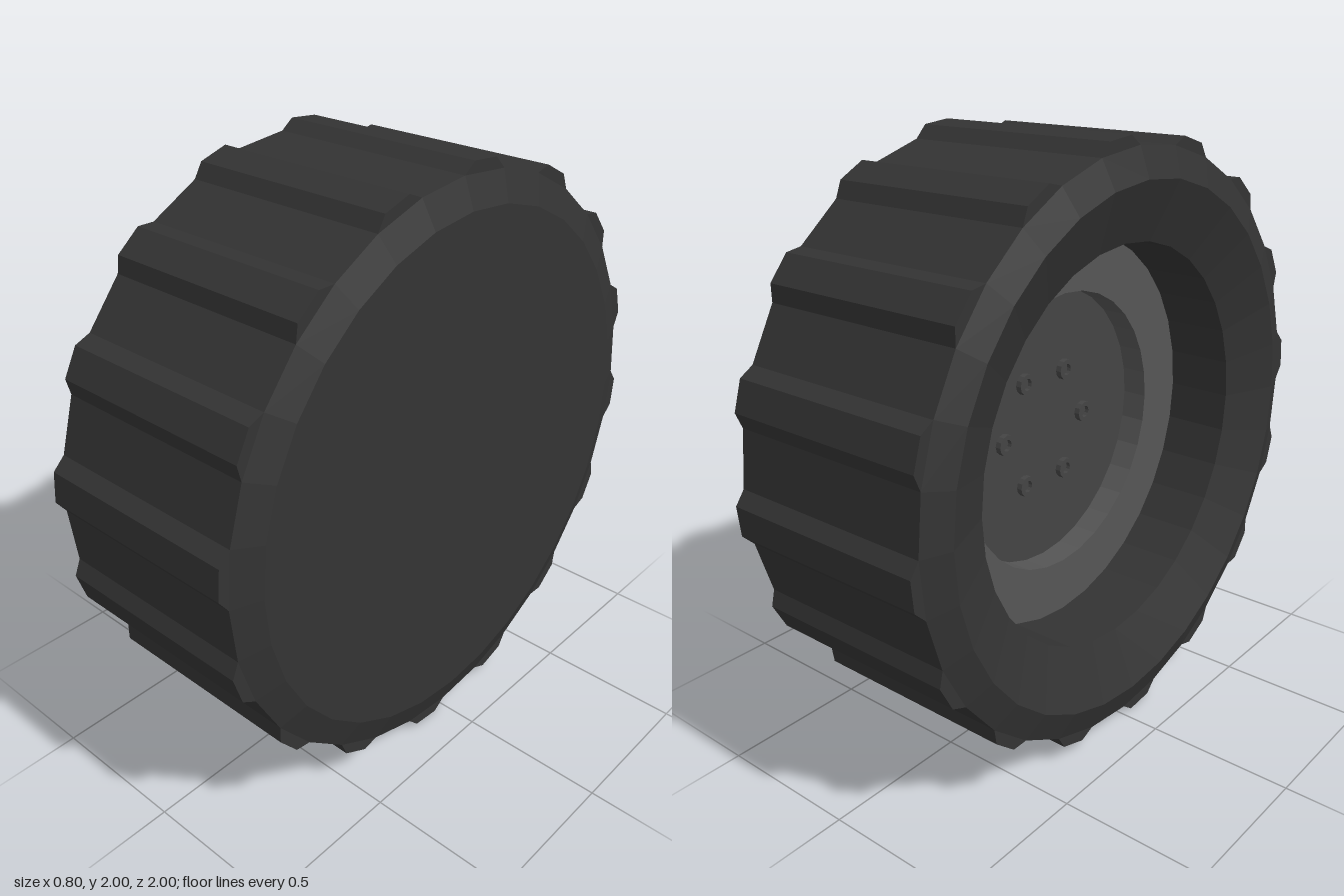
import * as THREE from 'three';

const material = (color) => new THREE.MeshStandardMaterial({ color, flatShading: true });

// Revolve [radius, x] points around the x axis
function revolve(name, points, mat, segments = 32) {
  const geometry = new THREE.LatheGeometry(points.map(([r, x]) => new THREE.Vector2(r, x)), segments);
  geometry.rotateZ(-Math.PI / 2);
  const mesh = new THREE.Mesh(geometry, mat);
  mesh.name = name;
  return mesh;
}

export function createModel() {
  const wheel = new THREE.Group();
  wheel.name = 'wheel';
  const rubber = material(0x333333);
  const metal = material(0x555555);
  const plate = material(0x444444);

  // Tyre: deep cylindrical recess on the right side, closed flat face on the left
  wheel.add(revolve('tyre', [
    [0.67, -0.09], [0.67, -0.32], [0.87, -0.4], [0.967, -0.365],
    [0.967, 0.365], [0.87, 0.4], [0, 0.4],
  ], rubber));

  // Tread: 16 trapezoid bars across the tyre
  const treads = new THREE.Group();
  treads.name = 'treads';
  const section = [[0, 0.93], [0, 0.967], [2.6, 1.001], [8.5, 1.001], [11.25, 0.967], [11.25, 0.93]];
  const shape = new THREE.Shape(section.map(([deg, r]) => {
    const a = THREE.MathUtils.degToRad(deg);
    return new THREE.Vector2(r * Math.sin(a), r * Math.cos(a));
  }));
  const barGeometry = new THREE.ExtrudeGeometry(shape, { depth: 0.73, bevelEnabled: false });
  barGeometry.translate(0, 0, -0.365).rotateY(Math.PI / 2);
  for (let i = 0; i < 16; i++) {
    const bar = new THREE.Mesh(barGeometry, rubber);
    bar.name = 'treadBar';
    bar.rotation.x = (i * Math.PI) / 8;
    treads.add(bar);
  }
  wheel.add(treads);

  // Hub: ledge and stepped ring around the sunken plate
  wheel.add(revolve('hubRing', [[0.48, 0], [0.48, -0.09], [0.67, -0.09]], metal));
  wheel.add(revolve('hubPlate', [[0, 0], [0.48, 0]], plate));

  // Six hollow bolts on the plate
  const bolts = new THREE.Group();
  bolts.name = 'bolts';
  for (let i = 0; i < 6; i++) {
    const a = (i * Math.PI) / 3;
    const bolt = revolve('bolt', [
      [0, -0.005], [0.02, -0.005], [0.02, -0.02], [0.036, -0.02], [0.036, 0],
    ], plate, 12);
    bolt.position.set(0, 0.21 * Math.sin(a), 0.21 * Math.cos(a));
    bolts.add(bolt);
  }
  wheel.add(bolts);

  wheel.position.y = 1;
  const model = new THREE.Group();
  model.add(wheel);
  return model;
}
